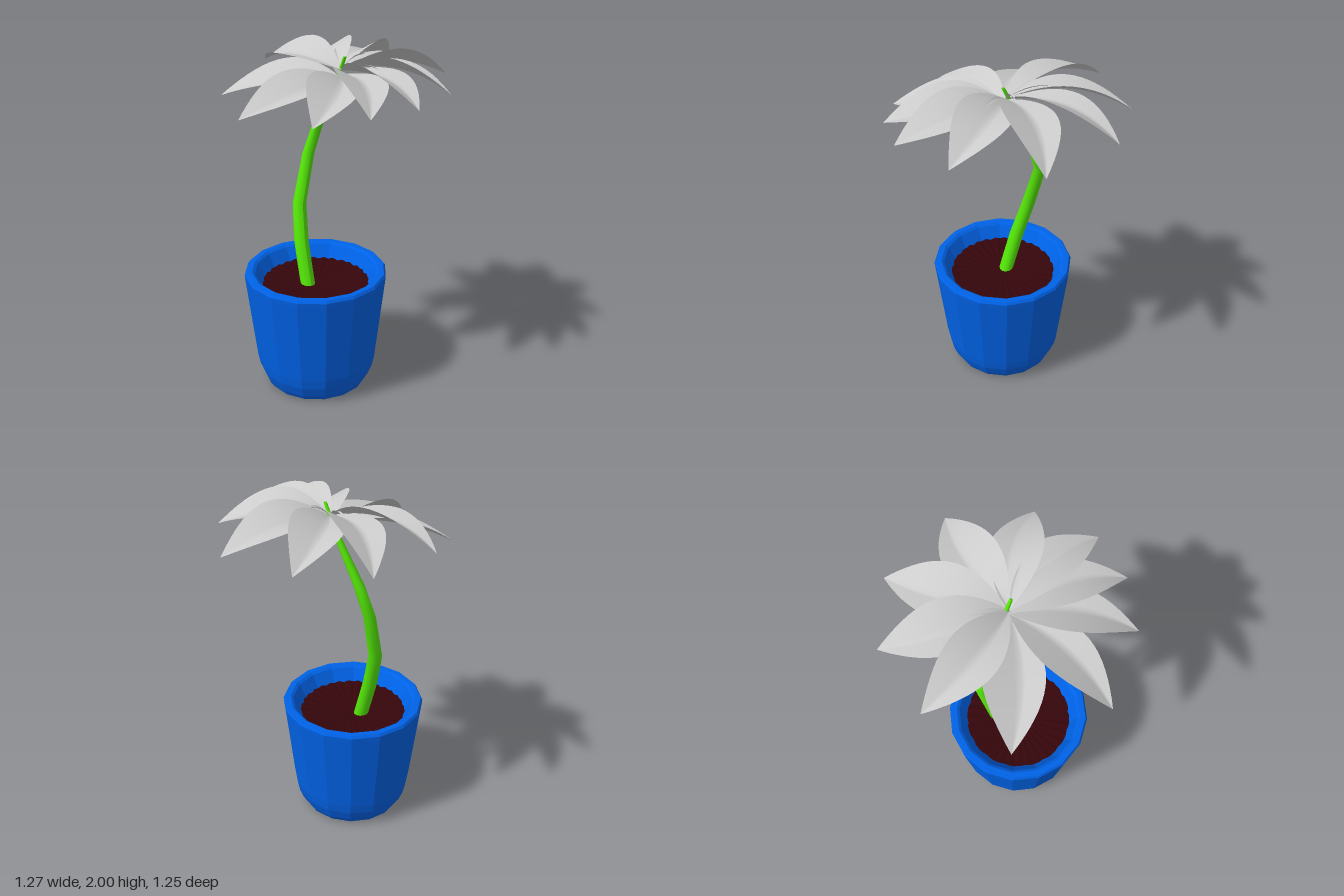
import * as THREE from 'three';

const material = (color, extra = {}) => new THREE.MeshStandardMaterial({ color, ...extra });

function addMesh(parent, name, geometry, mat) {
  const mesh = new THREE.Mesh(geometry, mat);
  mesh.name = name;
  parent.add(mesh);
  return mesh;
}

// Moves every vertex of a geometry by a rule and refreshes the normals
function deform(geometry, rule) {
  const pos = geometry.attributes.position;
  const v = new THREE.Vector3();
  for (let i = 0; i < pos.count; i++) {
    v.fromBufferAttribute(pos, i);
    rule(v, i);
    pos.setXYZ(i, v.x, v.y, v.z);
  }
  geometry.computeVertexNormals();
  return geometry;
}

// Arched leaf from the crown to its tip: folded upwards along the midrib, right half steeper
function leafGeometry(base, tip, { left, right, bow, arch, leftRise, rightRise }) {
  const out = new THREE.Vector3(tip.x - base.x, 0, tip.z - base.z).normalize();
  const side = new THREE.Vector3(-out.z, 0, out.x);
  return deform(new THREE.PlaneGeometry(1, 1, 12, 18), (v) => {
    const s = v.x * 2;
    const t = v.y + 0.5;
    const hump = 4 * t * (1 - t);
    const width = Math.pow(Math.max(0, Math.sin(Math.PI * Math.pow(t, 0.95))), 0.95);
    const across = s * (s > 0 ? right : left) * width - bow * hump;
    const lift = Math.abs(s) * (s > 0 ? rightRise : leftRise) * width;
    v.lerpVectors(base, tip, t).addScaledVector(side, across);
    v.y += arch * hump + lift;
  });
}

export function createModel() {
  const model = new THREE.Group();
  const potX = -0.13, potZ = -0.05;

  // Sixteen-sided pot with rounded foot and thick rim
  const profile = [
    [0, 0], [0.27, 0], [0.295, 0.012], [0.315, 0.045], [0.34, 0.11], [0.352, 0.17],
    [0.408, 0.68], [0.41, 0.705], [0.4, 0.72], [0.368, 0.72], [0.352, 0.708], [0.307, 0.63], [0.295, 0.58],
  ].map(([r, y]) => new THREE.Vector2(r, y));
  const pot = addMesh(model, 'pot', new THREE.LatheGeometry(profile, 16),
    material(0x0062e6, { flatShading: true, side: THREE.DoubleSide }));
  pot.position.set(potX, 0, potZ);

  // Soil with fine radial ridges, sinking slightly towards the stem
  const soilGeometry = new THREE.CircleGeometry(0.31, 64).rotateX(-Math.PI / 2);
  deform(soilGeometry, (v, i) => { v.y = Math.hypot(v.x, v.z) * 0.1 - (i % 2) * 0.008; });
  const soil = addMesh(model, 'soil', soilGeometry, material(0x35060b, { flatShading: true }));
  soil.position.set(potX, 0.608, potZ);

  // Bent, tapering stem: radius, height, then the ring's centre x and z
  const rings = [
    [0.042, 0.58, -0.162, -0.08], [0.042, 0.72, -0.162, -0.12], [0.042, 0.86, -0.16, -0.16],
    [0.039, 1.07, -0.135, -0.218], [0.034, 1.35, -0.055, -0.245], [0.03, 1.52, -0.03, -0.187],
    [0.019, 1.75, 0.008, -0.075], [0.012, 1.86, 0.018, -0.02], [0.009, 1.94, 0.022, 0.018],
    [0, 1.942, 0.022, 0.018],
  ];
  const stemGeometry = new THREE.LatheGeometry(rings.map(([r, y]) => new THREE.Vector2(r, y)), 12);
  deform(stemGeometry, (v, i) => {
    const [, , x, z] = rings[i % rings.length];
    v.x += x;
    v.z += z;
  });
  addMesh(model, 'stem', stemGeometry, material(0x55e808));

  // Crown of large leaves: tip, height of the base, arch of the midrib, width of the right half
  const leafMaterial = material(0xcccccc, { side: THREE.DoubleSide });
  const crown = new THREE.Group();
  crown.name = 'crown';
  model.add(crown);
  const leaves = [
    [-0.11, 1.82, -0.63, 1.87, 0.065, 0.135], [0.28, 1.8, -0.59, 1.87, 0.065, 0.145],
    [0.555, 1.81, -0.34, 1.87, 0.06, 0.15], [0.635, 1.79, 0.1, 1.87, 0.06, 0.155],
    [0.375, 1.79, 0.47, 1.87, 0.06, 0.15], [0.06, 1.79, 0.62, 1.865, 0.045, 0.15],
    [-0.195, 1.775, 0.585, 1.845, 0.045, 0.15], [-0.43, 1.735, 0.45, 1.83, 0.035, 0.15],
    [-0.64, 1.72, 0.09, 1.825, 0.03, 0.15], [-0.5, 1.71, -0.415, 1.825, 0.04, 0.185],
  ];
  leaves.forEach(([x, y, z, baseY, arch, right], i) => addMesh(crown, `leaf${i + 1}`,
    leafGeometry(new THREE.Vector3(0.01, baseY, 0), new THREE.Vector3(x, y, z),
      { left: 0.115, right, bow: 0.05, arch, leftRise: 0.02, rightRise: 0.085 }), leafMaterial));

  // Slender young leaves at the centre
  const youngTips = [[0.1, 1.94, -0.2], [0.15, 1.94, 0.02], [0.14, 1.93, 0.18], [0.06, 1.92, 0.28]];
  youngTips.forEach((tip, i) => addMesh(crown, `youngLeaf${i + 1}`,
    leafGeometry(new THREE.Vector3(0.01, 1.87, 0), new THREE.Vector3(...tip),
      { left: 0.012, right: 0.014, bow: 0.005, arch: 0.02, leftRise: 0.005, rightRise: 0.012 }), leafMaterial));

  return model;
}
